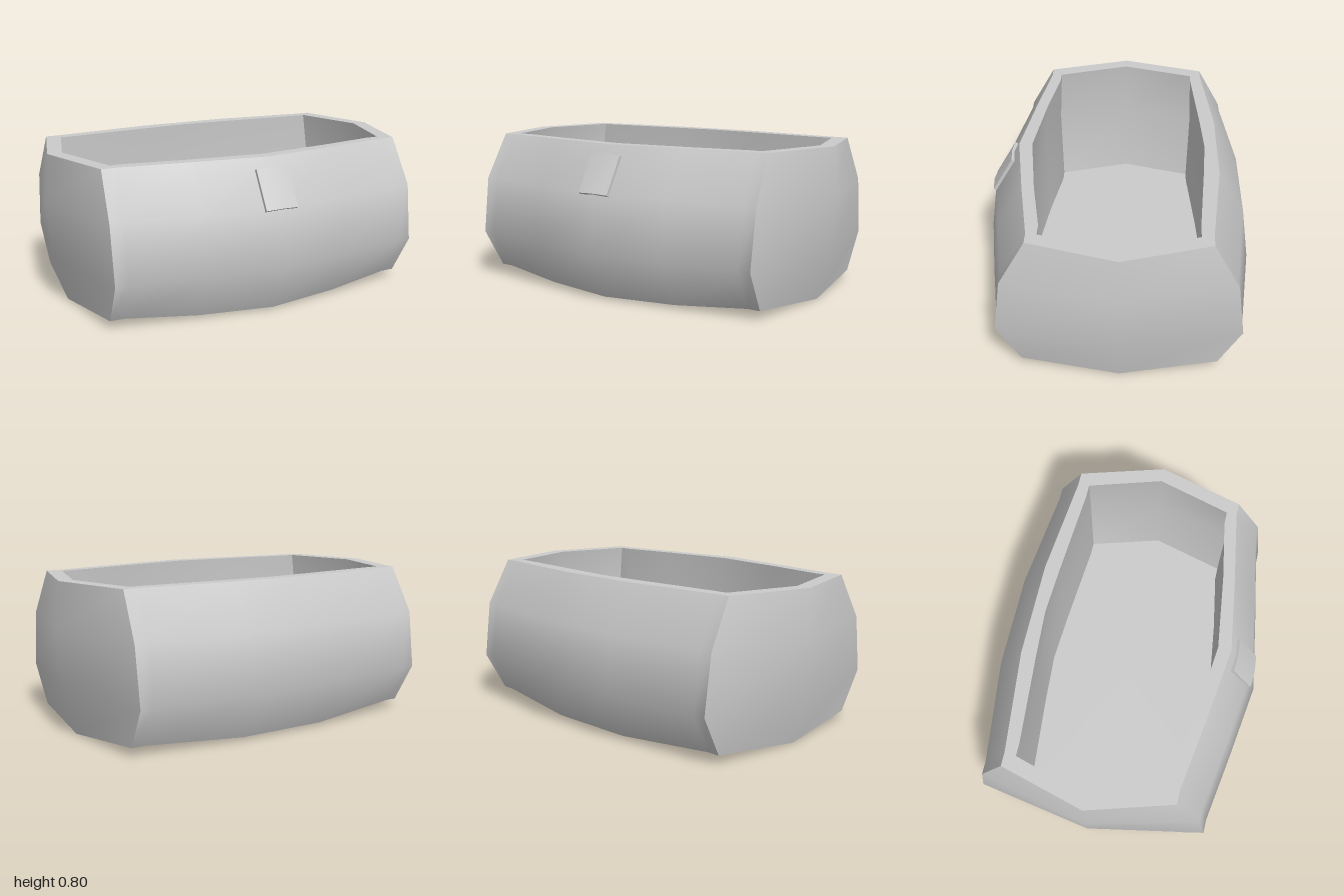
import * as THREE from 'three';
import { toCreasedNormals } from 'three/addons/utils/BufferGeometryUtils.js';

const END_Z = -0.03; // where the pointed ends meet

// One closed outline, counterclockwise from above, starting at the front middle.
// front/back: z at the middle; fc/bc: z at the corners; xc: corner x; xe: end x
function outline({ y, front, fc, xc, xe, bc, back, backSide = back, lift = 0 }) {
  const half = [
    [0, 0.22, front],
    [0.4, 0.36, front + (fc - front) * 0.48],
    [xc - 0.07, 1, fc],
    [xc, 1, fc],
    [xe, 0, END_Z],
    [xc, 1, bc],
    [xc - 0.07, 1, bc],
    [0.25, 0.3, backSide],
    [0, 0.3, back],
  ].map(([x, k, z]) => new THREE.Vector3(x, y + lift * k, z));
  const mirrored = half.slice(1, -1).reverse().map((p) => new THREE.Vector3(-p.x, p.y, p.z));
  return [...half, ...mirrored];
}

// Skin through the outlines, closed by a fan at both ends
function skin(rings, startCentre, endCentre) {
  const pos = [];
  const tri = (...pts) => pts.forEach((p) => pos.push(p.x, p.y, p.z));
  const n = rings[0].length;
  const last = rings[rings.length - 1];
  for (let i = 0; i < n; i++) {
    const j = (i + 1) % n;
    tri(startCentre, rings[0][j], rings[0][i]);
    for (let r = 0; r < rings.length - 1; r++) {
      const lo = rings[r], hi = rings[r + 1];
      tri(lo[i], lo[j], hi[j]);
      tri(lo[i], hi[j], hi[i]);
    }
    tri(endCentre, last[i], last[j]);
  }
  const geo = new THREE.BufferGeometry();
  geo.setAttribute('position', new THREE.Float32BufferAttribute(pos, 3));
  return toCreasedNormals(geo, 0.75);
}

export function createModel() {
  const group = new THREE.Group();
  group.name = 'openChest';
  const material = new THREE.MeshStandardMaterial({ color: 0xcccccc });

  // Tub: up the outside, over the rim, down the nearly upright inside
  const levels = [
    { y: 0.003, front: 0.59, fc: 0.47, xc: 0.85, xe: 0.905, bc: -0.53, back: -0.59, lift: 0.045 },
    { y: 0.26, front: 0.712, fc: 0.59, xc: 0.862, xe: 0.975, bc: -0.645, back: -0.712 },
    { y: 0.56, front: 0.67, fc: 0.55, xc: 0.865, xe: 1.0, bc: -0.605, back: -0.67 },
    { y: 0.8, front: 0.53, fc: 0.415, xc: 0.85, xe: 0.978, bc: -0.475, back: -0.53 },
    { y: 0.8, front: 0.46, fc: 0.36, xc: 0.785, xe: 0.9, bc: -0.415, back: -0.465, backSide: -0.45 },
    { y: 0.48, front: 0.48, fc: 0.38, xc: 0.835, xe: 0.935, bc: -0.43, back: -0.485, backSide: -0.47 },
    { y: 0.08, front: 0.47, fc: 0.37, xc: 0.79, xe: 0.902, bc: -0.42, back: -0.475, backSide: -0.46 },
  ];
  const tub = new THREE.Mesh(
    skin(levels.map(outline), new THREE.Vector3(0, 0, END_Z), new THREE.Vector3(0, 0.08, END_Z)),
    material
  );
  tub.name = 'tub';
  group.add(tub);

  // Clasp plate: thin box bent to follow the front wall
  const plate = new THREE.BoxGeometry(0.18, 0.22, 0.024, 2, 1, 1);
  const p = plate.attributes.position;
  for (let i = 0; i < p.count; i++) p.setZ(i, p.getZ(i) - Math.abs(p.getX(i)) * 0.09);
  const clasp = new THREE.Mesh(toCreasedNormals(plate, 0.75), material);
  clasp.name = 'clasp';
  clasp.position.set(-0.003, 0.655, 0.617);
  clasp.rotation.x = -Math.PI / 6;
  group.add(clasp);

  return group;
}
